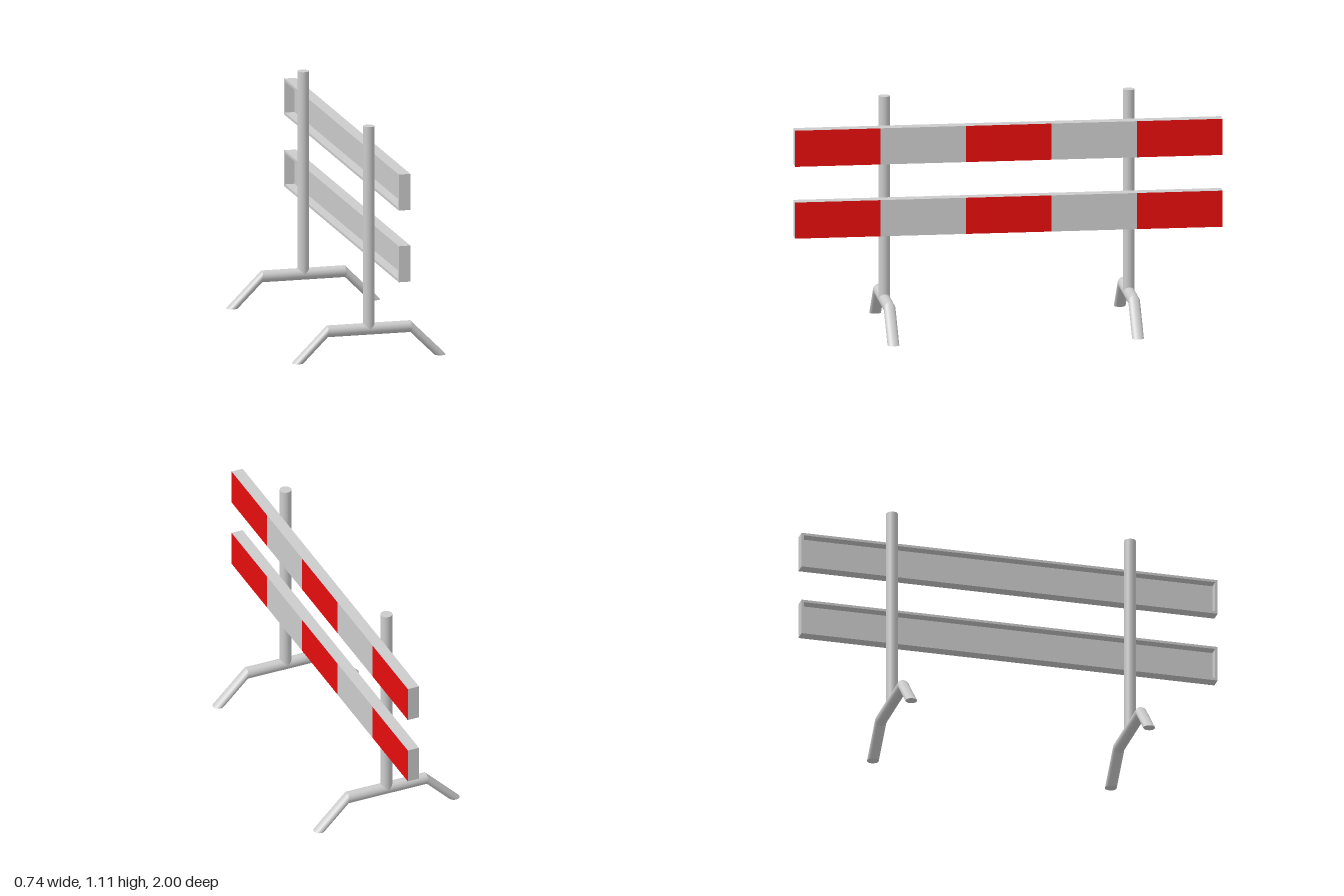
import * as THREE from 'three';

const R = 0.0275;      // pipe radius
const POST_Z = 0.572;  // stand position along the barrier
const SIDES = 32;

const grey = new THREE.MeshStandardMaterial({ color: 0xcccccc });
const red = new THREE.MeshStandardMaterial({ color: 0xe60d0d });

function add(parent, name, geometry, material = grey, x = 0, y = 0, z = 0) {
  const mesh = new THREE.Mesh(geometry, material);
  mesh.name = name;
  mesh.position.set(x, y, z);
  parent.add(mesh);
  return mesh;
}

// Pipe between two round ends; each end is [x, y, spread x, spread y] and may be cut obliquely
function pipe(a, b) {
  const pos = [], idx = [];
  for (let i = 0; i < SIDES; i++) {
    const t = (i / SIDES) * Math.PI * 2;
    const s = R * Math.sin(t), z = R * Math.cos(t);
    for (const [x, y, dx, dy] of [a, b]) pos.push(x + dx * s, y + dy * s, z);
    const j = (i + 1) % SIDES;
    idx.push(2 * i, 2 * i + 1, 2 * j + 1, 2 * i, 2 * j + 1, 2 * j);
  }
  const g = new THREE.BufferGeometry();
  g.setAttribute('position', new THREE.Float32BufferAttribute(pos, 3));
  g.setIndex(idx);
  g.computeVertexNormals();
  return g;
}

// Upright post on a bent foot pipe with flat-cut ends
function makeStand() {
  const stand = new THREE.Group();
  stand.name = 'stand';
  const top = 1.11, barY = 0.1425;
  add(stand, 'post', new THREE.CylinderGeometry(R, R, top - barY, SIDES), grey, 0, (top + barY) / 2);

  const path = [[-0.3425, 0, -1, 0], [-0.2, barY, 0, 1], [0.2, barY, 0, 1], [0.3425, 0, 1, 0]];
  ['rightLeg', 'crossPipe', 'leftLeg'].forEach((name, i) => add(stand, name, pipe(path[i], path[i + 1])));
  for (const x of [-0.3425, 0.3425]) {
    add(stand, 'footEnd', new THREE.CircleGeometry(R, SIDES).rotateX(Math.PI / 2), grey, x);
  }
  return stand;
}

// Striped board: hollow tray, open towards the posts
function makeBoard() {
  const board = new THREE.Group();
  board.name = 'board';
  const H = 0.172, L = 2, T = 0.012, x0 = 0.0265, x1 = 0.083;
  const rect = (shape, w, h) => shape.moveTo(-w, -h).lineTo(w, -h).lineTo(w, h).lineTo(-w, h).closePath();

  const rim = rect(new THREE.Shape(), L / 2, H / 2);
  rim.holes.push(rect(new THREE.Path(), L / 2 - T, H / 2 - T));
  const rimGeo = new THREE.ExtrudeGeometry(rim, { depth: x1 - x0 - 0.0005, bevelEnabled: false });
  add(board, 'rim', rimGeo.rotateY(Math.PI / 2), grey, x0);

  // inner back of the face
  add(board, 'innerPanel', new THREE.PlaneGeometry(L - 2 * T, H - 2 * T).rotateY(-Math.PI / 2), grey, x1 - 0.01);

  // alternating face stripes
  for (let i = 0; i < 5; i++) {
    const stripe = new THREE.PlaneGeometry(L / 5, H).rotateY(Math.PI / 2);
    add(board, i % 2 ? 'greyStripe' : 'redStripe', stripe, i % 2 ? grey : red, x1, 0, -0.8 + i * 0.4);
  }
  return board;
}

export function createModel() {
  const model = new THREE.Group();
  model.name = 'barrier';
  for (const side of [-1, 1]) {
    const stand = makeStand();
    stand.position.z = side * POST_Z;
    model.add(stand);
  }
  for (const y of [0.546, 0.888]) {
    const board = makeBoard();
    board.position.y = y;
    model.add(board);
  }
  return model;
}
